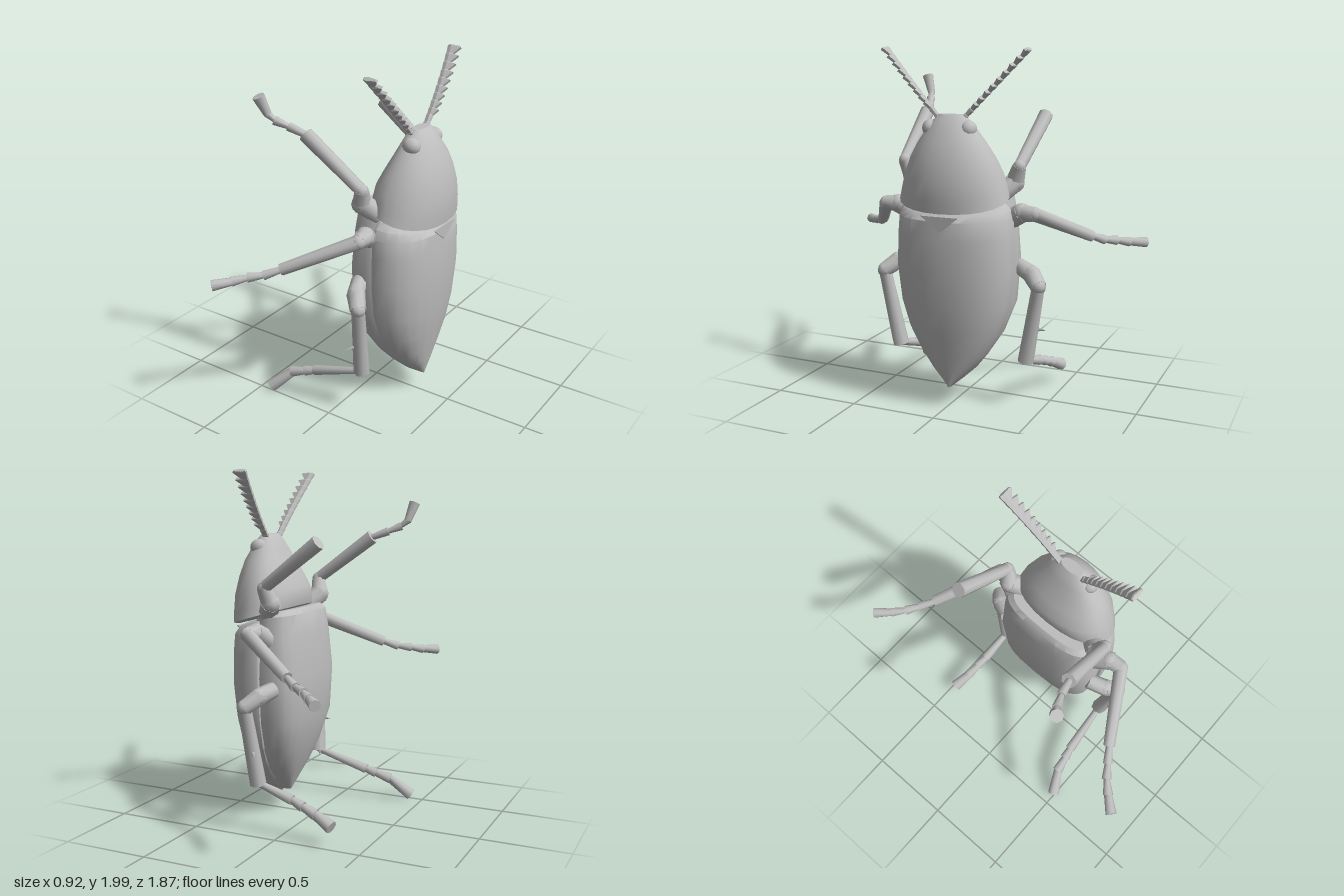
import * as THREE from 'three';
import { toCreasedNormals } from 'three/addons/utils/BufferGeometryUtils.js';

const V = (x, y, z) => new THREE.Vector3(x, y, z);
const UP = V(0, 1, 0);
const shell = new THREE.MeshStandardMaterial({ color: 0xbebebe });
shell.name = 'grey shell';

function add(parent, name, geometry) {
  const mesh = new THREE.Mesh(geometry, shell);
  mesh.name = name;
  parent.add(mesh);
  return mesh;
}

// Skin over rings of points (counter-clockwise about the path), closed by end caps
function loft(rings, crease = 0.6) {
  const n = rings[0].length, pos = [], idx = [];
  rings.forEach(r => r.forEach(p => pos.push(p.x, p.y, p.z)));
  for (let i = 0; i < rings.length - 1; i++) {
    for (let j = 0; j < n; j++) {
      const a = i * n + j, b = i * n + (j + 1) % n;
      idx.push(a, b, b + n, a, b + n, a + n);
    }
  }
  const last = (rings.length - 1) * n;
  for (let j = 1; j < n - 1; j++) idx.push(0, j + 1, j, last, last + j, last + j + 1);
  const g = new THREE.BufferGeometry();
  g.setAttribute('position', new THREE.Float32BufferAttribute(pos, 3));
  g.setIndex(idx);
  return toCreasedNormals(g.toNonIndexed(), crease);
}

// Body section: [height, belly x, widest x, back x, half width, tilt]
function bodyLoft(sections, backPower, bellyPower) {
  return loft(sections.map(([y, belly, mid, back, w, tilt = 0]) =>
    Array.from({ length: 24 }, (_, j) => {
      const a = j / 24 * Math.PI * 2, s = Math.sin(a), c = Math.cos(a);
      const p = s > 0 ? backPower : bellyPower;
      const x = mid + ((s > 0 ? back : belly) - mid) * Math.pow(Math.abs(s), p);
      return V(x, y - tilt * (x - 0.25), -0.012 + w * Math.sign(c) * Math.pow(Math.abs(c), p));
    })));
}

// Tapered segments through points [x, y, z]; radii are [start, end] for each
function limb(parent, points, radii) {
  const names = ['hip', 'thigh', 'shin'];
  radii.forEach(([r0, r1], i) => {
    const a = V(...points[i]), b = V(...points[i + 1]);
    const d = b.clone().sub(a);
    const g = new THREE.CylinderGeometry(r1, r0, d.length() + 0.012, 8, 1);
    const m = add(parent, names[i] || 'footSegment', toCreasedNormals(g, 0.9));
    m.position.copy(a).addScaledVector(d, 0.5);
    m.quaternion.setFromUnitVectors(UP, d.normalize());
    if (i > 0 && i < 3) {
      const joint = add(parent, 'joint', new THREE.SphereGeometry(Math.max(r0, radii[i - 1][1]) * 0.98, 8, 6));
      joint.position.copy(a);
    }
  });
}

// Spur on the hind shin
function spur(parent, from, to) {
  const d = V(...to).sub(V(...from));
  const m = add(parent, 'spur', new THREE.ConeGeometry(0.014, d.length(), 5));
  m.position.set(...from).addScaledVector(d, 0.5);
  m.quaternion.setFromUnitVectors(UP, d.normalize());
}

// Saw-edged flattened antenna curving outwards
function antenna(parent, side) {
  const z = side > 0 ? [0.06, 0.21, 0.41] : [-0.07, -0.23, -0.43];
  const curve = new THREE.QuadraticBezierCurve3(
    V(0.258, 1.61, z[0]), V(0.25, 1.77, z[1]), V(0.205, 1.985, z[2]));
  const rings = [], count = 11;
  const ring = (t, front, back, half) => {
    const p = curve.getPoint(t), d = curve.getTangent(t);
    const n = V(1, 0, 0).cross(d).normalize().multiplyScalar(-half);
    const at = (x, k) => p.clone().add(V(x, 0, 0)).addScaledVector(n, k);
    rings.push([at(back, 0.5), at(0.01, 1), at(-front, 0.5), at(-front, -0.5), at(0.01, -1), at(back, -0.5)]);
  };
  for (let i = 0; i < count; i++) {
    const wide = i < 2 ? 0.022 : 0.04 + 0.03 * (i / count);
    ring(i / count, 0.012, 0.018 + 0.012 * i / count, 0.012);
    ring((i + 0.85) / count, 0.014, wide, 0.016);
  }
  ring(1, 0.01, 0.06, 0.012);
  add(parent, side > 0 ? 'leftAntenna' : 'rightAntenna', loft(rings, 0.3));
}

export function createModel() {
  const beetle = new THREE.Group();
  beetle.name = 'beetle';

  // Abdomen and chest underside
  add(beetle, 'underside', bodyLoft([
    [0.135, 0.145, 0.22, 0.28, 0.015], [0.2, 0.115, 0.2, 0.3, 0.085], [0.3, 0.07, 0.18, 0.3, 0.175],
    [0.42, 0.025, 0.15, 0.3, 0.25], [0.6, -0.025, 0.13, 0.3, 0.315], [0.85, -0.036, 0.13, 0.3, 0.333],
    [1.08, -0.012, 0.13, 0.3, 0.318], [1.18, 0.005, 0.13, 0.28, 0.295, 0.1], [1.2, 0.03, 0.13, 0.26, 0.26, 0.15],
  ], 0.85, 0.68));

  // Wing cases
  add(beetle, 'wingCases', bodyLoft([
    [0.12, 0.2, 0.24, 0.33, 0.008], [0.16, 0.18, 0.24, 0.34, 0.055], [0.23, 0.17, 0.23, 0.355, 0.13],
    [0.32, 0.16, 0.22, 0.372, 0.2], [0.45, 0.15, 0.21, 0.4, 0.272], [0.6, 0.14, 0.2, 0.422, 0.322],
    [0.8, 0.14, 0.2, 0.438, 0.346], [0.98, 0.14, 0.2, 0.438, 0.34], [1.08, 0.14, 0.2, 0.43, 0.332],
    [1.13, 0.15, 0.2, 0.4, 0.315, 0.1], [1.16, 0.17, 0.2, 0.35, 0.28, 0.2],
  ], 0.86, 0.8));

  // Small triangular plate between the wing cases
  const tri = new THREE.Shape([new THREE.Vector2(-0.11, 1.11), new THREE.Vector2(0, 1.025), new THREE.Vector2(0.11, 1.11)]);
  const plate = add(beetle, 'shoulderPlate', new THREE.ExtrudeGeometry(tri, { depth: 0.008, bevelEnabled: false }));
  plate.rotation.y = Math.PI / 2;
  plate.position.set(0.431, 0, -0.012);

  // Neck shield running into the head
  add(beetle, 'neckShieldAndHead', bodyLoft([
    [1.175, 0.1, 0.24, 0.425, 0.29, 0.3], [1.185, 0.075, 0.24, 0.446, 0.315, 0.3], [1.24, 0.065, 0.24, 0.452, 0.302, 0.25],
    [1.32, 0.075, 0.24, 0.452, 0.28, 0.12], [1.41, 0.115, 0.25, 0.43, 0.243, 0.05], [1.49, 0.155, 0.26, 0.402, 0.195],
    [1.56, 0.19, 0.265, 0.365, 0.145], [1.61, 0.215, 0.27, 0.335, 0.105], [1.64, 0.24, 0.275, 0.305, 0.07],
  ], 0.95, 0.9));

  for (const side of [1, -1]) {
    const left = side > 0, word = left ? 'left' : 'right';

    const eye = add(beetle, word + 'Eye', new THREE.SphereGeometry(0.05, 12, 8));
    eye.position.set(0.288, 1.565, left ? 0.105 : -0.118);
    eye.scale.set(1.05, 0.95, 0.9);
    antenna(beetle, side);

    // Front leg; the right one ends at the shin
    const front = new THREE.Group();
    front.name = word + 'FrontLeg';
    const fz = z => left ? z : -z - 0.005;
    limb(front, [
      [0.17, 1.2, fz(0.24)], [0.11, 1.27, fz(0.31)], [0.135, 1.36, fz(0.345)], [-0.2, 1.61, fz(0.37)],
      [-0.29, 1.645, fz(0.395)], [-0.36, 1.675, fz(0.425)], [-0.4, 1.71, fz(0.44)], [-0.425, 1.805, fz(0.475)],
    ], [
      [0.055, 0.058], [0.055, 0.038], [0.034, 0.042], [0.018, 0.025], [0.014, 0.026], [0.012, 0.022], [0.022, 0.034],
    ].slice(0, left ? 7 : 3));
    beetle.add(front);

    // Middle leg
    const middle = new THREE.Group();
    middle.name = word + 'MiddleLeg';
    const mz = z => left ? z : -z - 0.008;
    limb(middle, [
      [0.13, 1.06, mz(0.28)], [0.17, 1.115, mz(0.37)], [0.18, 1.115, mz(0.445)], [-0.165, 0.95, mz(0.66)],
      [-0.24, 0.918, mz(0.715)], [-0.31, 0.905, mz(0.765)], [-0.37, 0.89, mz(0.825)], [-0.44, 0.88, mz(0.905)],
    ], [
      [0.055, 0.055], [0.052, 0.042], [0.04, 0.033], [0.017, 0.027], [0.016, 0.028], [0.016, 0.028], [0.022, 0.031],
    ]);
    beetle.add(middle);

    // Hind leg with spurs
    const hind = new THREE.Group();
    hind.name = word + 'HindLeg';
    const hz = z => left ? z : -z - 0.025;
    limb(hind, [
      [0.09, 0.8, hz(0.31)], [0.13, 0.77, hz(0.4)], [0.185, 0.72, hz(0.46)], [0.15, 0.28, hz(0.38)],
      ...(left
        ? [[-0.16, 0.185, 0.405], [-0.22, 0.165, 0.415], [-0.31, 0.135, 0.43], [-0.42, 0.035, 0.49]]
        : [[-0.06, 0.215, -0.41], [-0.13, 0.19, -0.42], [-0.21, 0.16, -0.43], [-0.315, 0.115, -0.455]]),
    ], [
      [0.045, 0.05], [0.052, 0.045], [0.037, 0.047], [0.018, 0.03], [0.02, 0.03], [0.02, 0.032], [0.026, 0.037],
    ]);
    spur(hind, [0.15, 0.47, hz(0.435)], [0.115, 0.455, hz(0.488)]);
    spur(hind, [0.14, 0.3, hz(0.37)], [0.12, 0.255, hz(0.335)]);
    beetle.add(hind);
  }
  return beetle;
}
